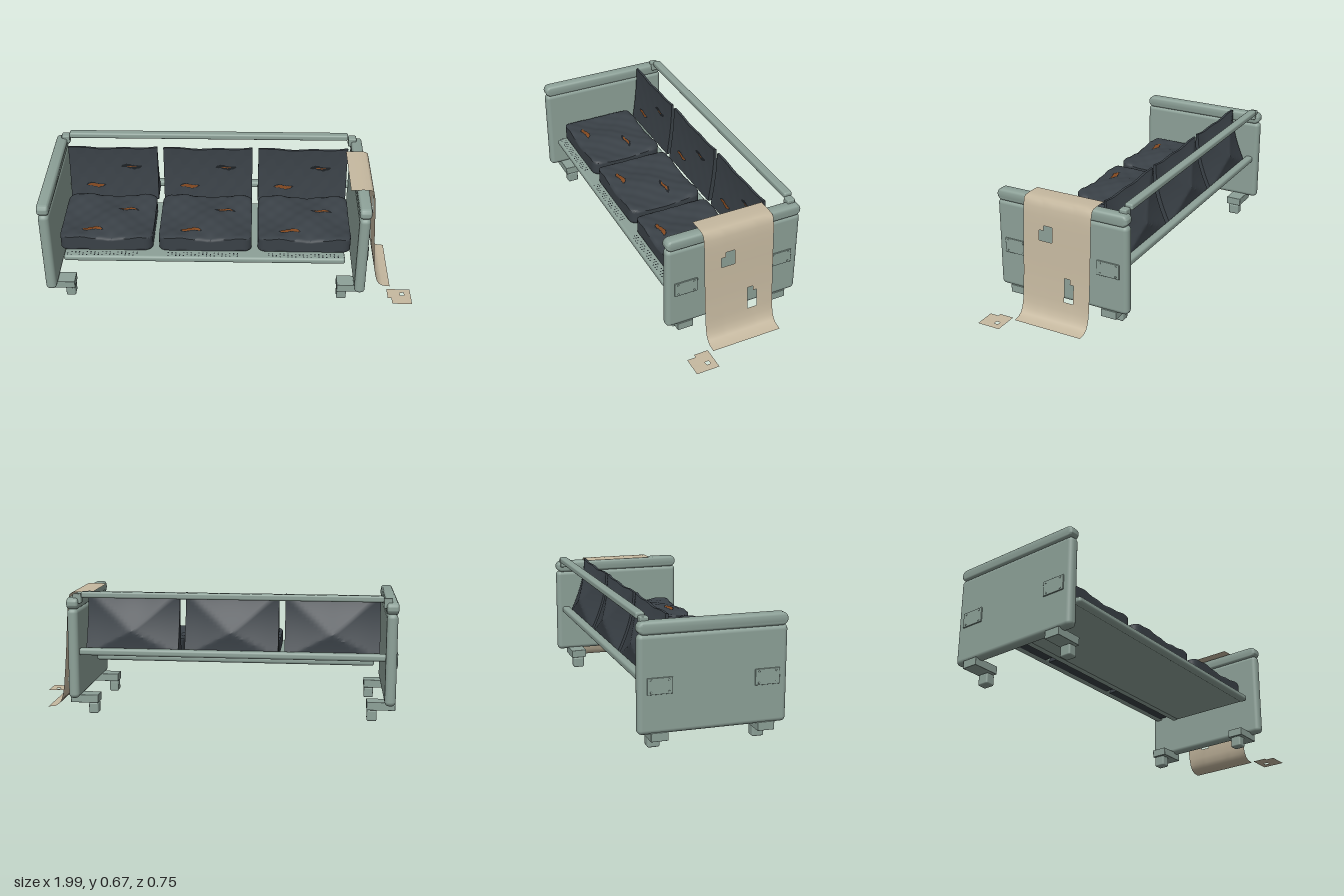
import * as THREE from 'three';
import { mergeGeometries, mergeVertices, toCreasedNormals } from 'three/addons/utils/BufferGeometryUtils.js';
import { RoundedBoxGeometry } from 'three/addons/geometries/RoundedBoxGeometry.js';

const mat = (name, color, side = THREE.FrontSide) => {
  const m = new THREE.MeshStandardMaterial({ color, side });
  m.name = name;
  return m;
};

export function createModel() {
  const root = new THREE.Group();
  const frame = mat('sage metal', 0x8da198);
  const fabric = mat('charcoal fabric', 0x3a4147);
  const cloth = mat('tan cloth', 0xc6b9a0, THREE.DoubleSide);
  const foam = mat('rust foam', 0x85491f, THREE.DoubleSide);
  const dark = mat('dark holes', 0x1c2024, THREE.DoubleSide);
  const CX = -0.134; // middle of the sofa, the cloth lies off to one side

  const add = (name, geo, material, parent = root) => {
    const m = new THREE.Mesh(geo, material);
    m.name = name;
    parent.add(m);
    return m;
  };
  // Rounded block given by its bounds
  const block = (name, x0, x1, y0, y1, z0, z1, r, parent = root) => {
    const m = add(name, new RoundedBoxGeometry(x1 - x0, y1 - y0, z1 - z0, 3, r), frame, parent);
    m.position.set((x0 + x1) / 2, (y0 + y1) / 2, (z0 + z1) / 2);
    return m;
  };

  // Arm roll: a stadium outline along z, extruded through x with a soft bevel
  const bevel = 0.016, rr = 0.032 - bevel, reach = 0.373 - 0.032;
  const stadium = new THREE.Shape();
  stadium.absarc(reach, 0, rr, -Math.PI / 2, Math.PI / 2);
  stadium.absarc(-reach, 0, rr, Math.PI / 2, Math.PI * 1.5);
  const rollGeo = toCreasedNormals(new THREE.ExtrudeGeometry(stadium, {
    depth: 0.062 - 2 * bevel, bevelThickness: bevel, bevelSize: bevel, bevelSegments: 5, curveSegments: 14,
  }).translate(0, 0, bevel - 0.031).rotateY(Math.PI / 2), 0.6);

  // End panels with feet and riveted plates, mirrored about the sofa's middle
  for (const s of [-1, 1]) {
    const end = new THREE.Group();
    end.name = s < 0 ? 'rightEnd' : 'leftEnd';
    end.position.x = CX;
    root.add(end);
    const b = (name, a, c, ...rest) => block(name, Math.min(s * a, s * c), Math.max(s * a, s * c), ...rest, end);
    b('endPanel', 0.802, 0.859, 0.096, 0.578, -0.373, 0.373, 0.024);
    add('armRoll', rollGeo, frame, end).position.set(s * 0.831, 0.605, 0);
    b('railBracket', 0.785, 0.83, 0.605, 0.655, -0.353, -0.311, 0.006);
    for (const f of [-1, 1]) {
      const z = f * 0.268;
      b('footBracket', 0.713, 0.861, 0.062, 0.105, z - 0.043, z + 0.043, 0.002);
      b('foot', 0.715, 0.767, 0, 0.06, z - 0.031, z + 0.031, 0.009);
      b('sidePlate', 0.854, 0.865, 0.292, 0.372, z - 0.063, z + 0.063, 0.003);
      for (const dz of [-0.044, 0.044]) for (const y of [0.304, 0.36]) {
        const rivet = add('rivet', new THREE.SphereGeometry(0.005, 10, 6), frame, end);
        rivet.position.set(s * 0.865, y, z + dz);
        rivet.scale.x = 0.5;
      }
    }
  }

  // Rails and seat deck
  block('topRail', -0.92, 0.65, 0.636, 0.669, -0.362, -0.317, 0.01);
  block('lowerBackRail', -0.942, 0.672, 0.326, 0.364, -0.345, -0.3, 0.014);
  block('seatDeck', -0.882, 0.608, 0.275, 0.305, -0.175, 0.32, 0.004);
  block('frontRail', -0.885, 0.611, 0.27, 0.305, 0.295, 0.342, 0.014);
  block('deckBackRail', -0.885, 0.611, 0.27, 0.305, -0.18, -0.14, 0.014);

  // Perforations along the front of the deck
  const dots = [];
  for (let g = 0; g < 3; g++) for (let i = 0; i < 19; i++) for (let r = 0; r < 3; r++) {
    if ((i * 7 + r * 5 + g * 3) % 4 === 0) continue;
    dots.push(new THREE.CircleGeometry(0.0042, 8).rotateX(-Math.PI / 2)
      .translate(-0.865 + g * 0.535 + i * 0.0205, 0.3065, 0.303 + r * 0.0125));
  }
  add('deckPerforations', mergeGeometries(dots), dark);

  // Moves every vertex by a rule, then shades it smoothly with crisp edges
  const warp = (geo, rule, crease) => {
    geo.deleteAttribute('uv');
    geo.deleteAttribute('normal');
    geo = mergeVertices(geo);
    const p = geo.attributes.position, v = new THREE.Vector3();
    for (let i = 0; i < p.count; i++) {
      v.fromBufferAttribute(p, i);
      rule(v);
      p.setXYZ(i, v.x, v.y, v.z);
    }
    return toCreasedNormals(geo, crease);
  };

  const W = 0.495, clamp = THREE.MathUtils.clamp;
  // Lumpy surfaces: seat top height, and front face of the back cushion
  const seatTop = (x, z) => 0.386 + 0.003 * Math.sin(x * 62) * Math.sin(z * 62)
    + 0.011 * Math.sin(x * 17 + 1.2) * Math.cos(z * 14 - 1.5) + 0.006 * Math.cos(x * 6);
  const backFront = (x, y) => {
    const t = clamp((y - 0.33) / 0.32, 0, 1);
    return -0.17 - 0.03 * Math.sin(t * Math.PI / 2) + 0.0008 * Math.sin(x * 62) * Math.sin(y * 50);
  };
  const seatGeo = warp(new THREE.BoxGeometry(W, 0.09, 0.414, 36, 6, 30), (v) => {
    const r = 0.045, hx = W / 2 - r, hz = 0.207 - r;
    const c = new THREE.Vector3(clamp(v.x, -hx, hx), v.y, clamp(v.z, -hz, hz));
    const d = v.clone().sub(c);
    // Round the corners in plan, and soften the top and bottom rims
    const flat = Math.hypot(d.x, d.z);
    if (flat > r) { d.x *= r / flat; d.z *= r / flat; }
    const rim = Math.min(flat, r) / r;
    v.copy(c).add(d);
    v.z += 0.081;
    const k = (v.y * (1 - 0.15 * rim ** 4) + 0.045) / 0.09;
    v.y = 0.304 + k * (seatTop(v.x, v.z) - 0.304);
  }, 1.2);
  const backGeo = warp(new THREE.BoxGeometry(W, 1, 1, 24, 20, 1), (v) => {
    const t = v.y + 0.5, front = v.z > 0, u = v.x / W;
    v.y = 0.328 + t * (0.315 + 0.035 * u * u + 0.003 * Math.sin(u * 14));
    // Rear face curves back towards the bottom and rises to a shallow pyramid
    const peak = Math.min(1 - Math.abs(u) * 2, t < 0.4 ? t / 0.4 : (1 - t) / 0.6);
    v.z = front ? backFront(v.x, v.y) : -0.213 - 0.092 * (1 - t) ** 1.8 - 0.062 * peak;
  }, 0.45);

  // Jagged slit laid onto a surface; place(a, b) gives the point
  const slit = (cx, cy, w, h, place) => {
    const top = [], bottom = [], n = 12;
    for (let i = 0; i <= n; i++) {
      const a = i / n, e = Math.pow(Math.sin(Math.PI * a), 0.5) * h / 2;
      const bend = Math.sin(a * 7) * h * 0.18;
      top.push(place(cx + (a - 0.5) * w, cy + bend + e * (0.85 + 0.3 * (i % 2))));
      bottom.push(place(cx + (a - 0.5) * w, cy + bend - e * (1.1 - 0.35 * (i % 3 === 0))));
    }
    const geo = new THREE.BufferGeometry().setFromPoints([...top, ...bottom]);
    const index = [];
    for (let i = 0; i < n; i++) {
      const a = i, b = n + 1 + i;
      index.push(a, b, a + 1, a + 1, b, b + 1);
    }
    geo.setIndex(index);
    geo.computeVertexNormals();
    return geo;
  };
  const onSeat = (lift) => (x, z) => new THREE.Vector3(x, seatTop(x, z) + lift, z);
  const onBack = (lift) => (x, y) => new THREE.Vector3(x, y, backFront(x, y) + lift);
  // Each tear: x, second coordinate, width, height, foam share, surface
  const tears = [
    [-0.078, 0.213, 0.12, 0.034, 0.75, onSeat],
    [0.1, 0.027, 0.12, 0.028, 0.5, onSeat],
    [-0.105, 0.417, 0.115, 0.026, 0.7, onBack],
    [0.1, 0.533, 0.12, 0.026, 0.2, onBack],
  ];
  for (let i = 0; i < 3; i++) {
    const place = new THREE.Group();
    place.name = 'seatPlace' + (i + 1);
    place.position.x = CX + (i - 1) * 0.528;
    root.add(place);
    add('seatCushion', seatGeo, fabric, place);
    add('backCushion', backGeo, fabric, place);
    for (const [x, y, w, h, share, on] of tears) {
      add('tearEdge', slit(x, y, w, h, on(0.003)), dark, place);
      add('tearFoam', slit(x, y, w * (0.35 + 0.7 * share), h * share, on(0.005)), foam, place);
    }
  }

  // Sheet from rows of [x, y] and columns of z, leaving out the hole cells
  const sheet = (rows, cols, isHole) => {
    const pts = [], index = [], n = cols.length;
    rows.forEach(([x, y]) => cols.forEach((z) => pts.push(new THREE.Vector3(x, y, z))));
    for (let i = 0; i + 1 < rows.length; i++) for (let j = 0; j + 1 < n; j++) {
      if (isHole((rows[i][0] + rows[i + 1][0]) / 2, (rows[i][1] + rows[i + 1][1]) / 2, (cols[j] + cols[j + 1]) / 2)) continue;
      const a = i * n + j, b = a + n;
      index.push(a, a + 1, b, b, a + 1, b + 1);
    }
    const geo = new THREE.BufferGeometry().setFromPoints(pts);
    geo.setIndex(index);
    geo.computeVertexNormals();
    return geo;
  };
  const within = (v, a, b) => v > a && v < b;

  // Cloth draped over the left arm, with two stepped holes
  const drape = [[0.63, 0.642], [0.66, 0.644], [0.7, 0.645], [0.735, 0.643], [0.75, 0.632], [0.758, 0.6],
    [0.763, 0.56], [0.766, 0.51], [0.768, 0.483], [0.771, 0.428], [0.776, 0.34], [0.782, 0.255], [0.784, 0.228],
    [0.793, 0.127], [0.8, 0.08], [0.81, 0.045], [0.825, 0.022], [0.845, 0.01], [0.885, 0.005]];
  const drapeZ = [-0.196, -0.15, -0.103, -0.082, -0.052, -0.015, 0.022, 0.073, 0.097, 0.145, 0.19];
  add('drapedCloth', sheet(drape, drapeZ, (x, y, z) =>
    (within(y, 0.428, 0.483) && within(z, 0.022, 0.097)) || (within(y, 0.483, 0.51) && within(z, 0.022, 0.073))
    || (within(y, 0.127, 0.228) && within(z, -0.103, -0.052)) || (within(y, 0.228, 0.255) && within(z, -0.082, -0.052))), cloth);

  // Torn scrap on the floor
  const scrapRows = [0.865, 0.885, 0.935, 0.957, 0.993].map((x, i) => [x, 0.002 + 0.001 * (i % 2)]);
  add('clothScrap', sheet(scrapRows, [0.212, 0.242, 0.264, 0.29, 0.337], (x, y, z) =>
    (x < 0.885 && z > 0.29) || (within(x, 0.935, 0.957) && within(z, 0.242, 0.264))), cloth);

  return root;
}
